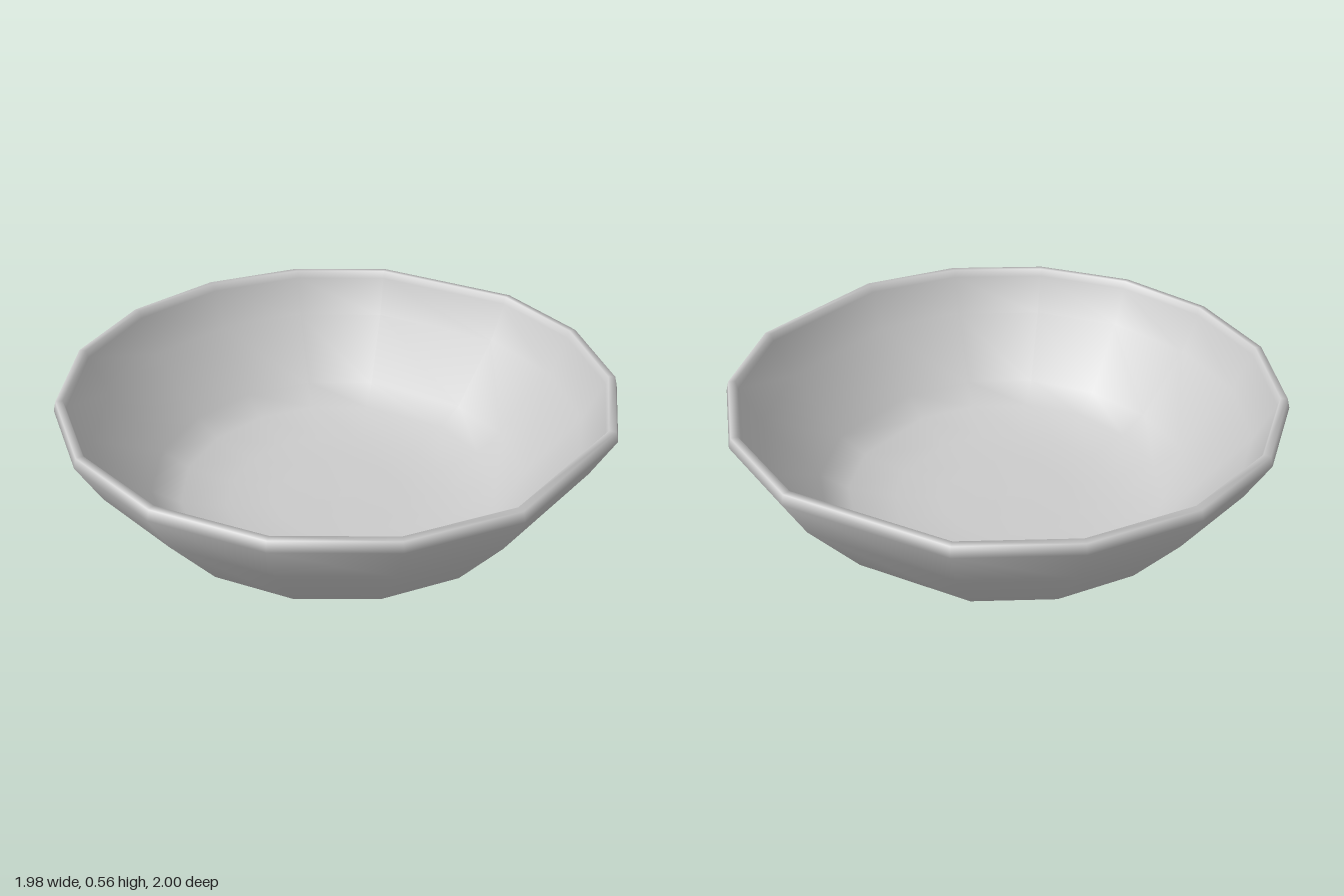
import * as THREE from 'three';

// Column angles in degrees: steps of 22.5 with two wider facets (+x side and back right)
const columnAngle = (k) => (k <= 10 ? -146.25 + 22.5 * k : k < 15 ? 112.5 + 22.5 * (k - 11) : 213.75);

export function createModel() {
  const model = new THREE.Group();

  // Closed wall section: underside, outer wall, rim, inner wall, floor
  const profile = [
    [0, 0], [0.25, 0.003], [0.44, 0.012], [0.62, 0.057], [0.735, 0.125], [0.93, 0.375],
    [1.01, 0.525], [1.0, 0.56], [0.975, 0.56],
    [0.968, 0.53], [0.9, 0.385], [0.71, 0.145], [0.605, 0.08], [0.43, 0.037], [0.25, 0.028], [0, 0.025],
  ].map(([r, y]) => new THREE.Vector2(r, y));

  const sides = 15;
  const geometry = new THREE.LatheGeometry(profile, sides);

  // Turn each column, with its smooth normals, to its uneven angle
  const { position, normal } = geometry.attributes;
  const up = new THREE.Vector3(0, 1, 0);
  const v = new THREE.Vector3();
  for (let i = 0; i < position.count; i++) {
    const k = Math.floor(i / profile.length);
    const turn = THREE.MathUtils.degToRad(columnAngle(k) - (k * 360) / sides);
    for (const attribute of [position, normal]) {
      v.fromBufferAttribute(attribute, i).applyAxisAngle(up, turn);
      attribute.setXYZ(i, v.x, v.y, v.z);
    }
  }

  const bowl = new THREE.Mesh(geometry, new THREE.MeshStandardMaterial({ color: 0xcccccc }));
  bowl.name = 'bowl';
  bowl.position.z = 0.01;
  model.add(bowl);
  return model;
}
